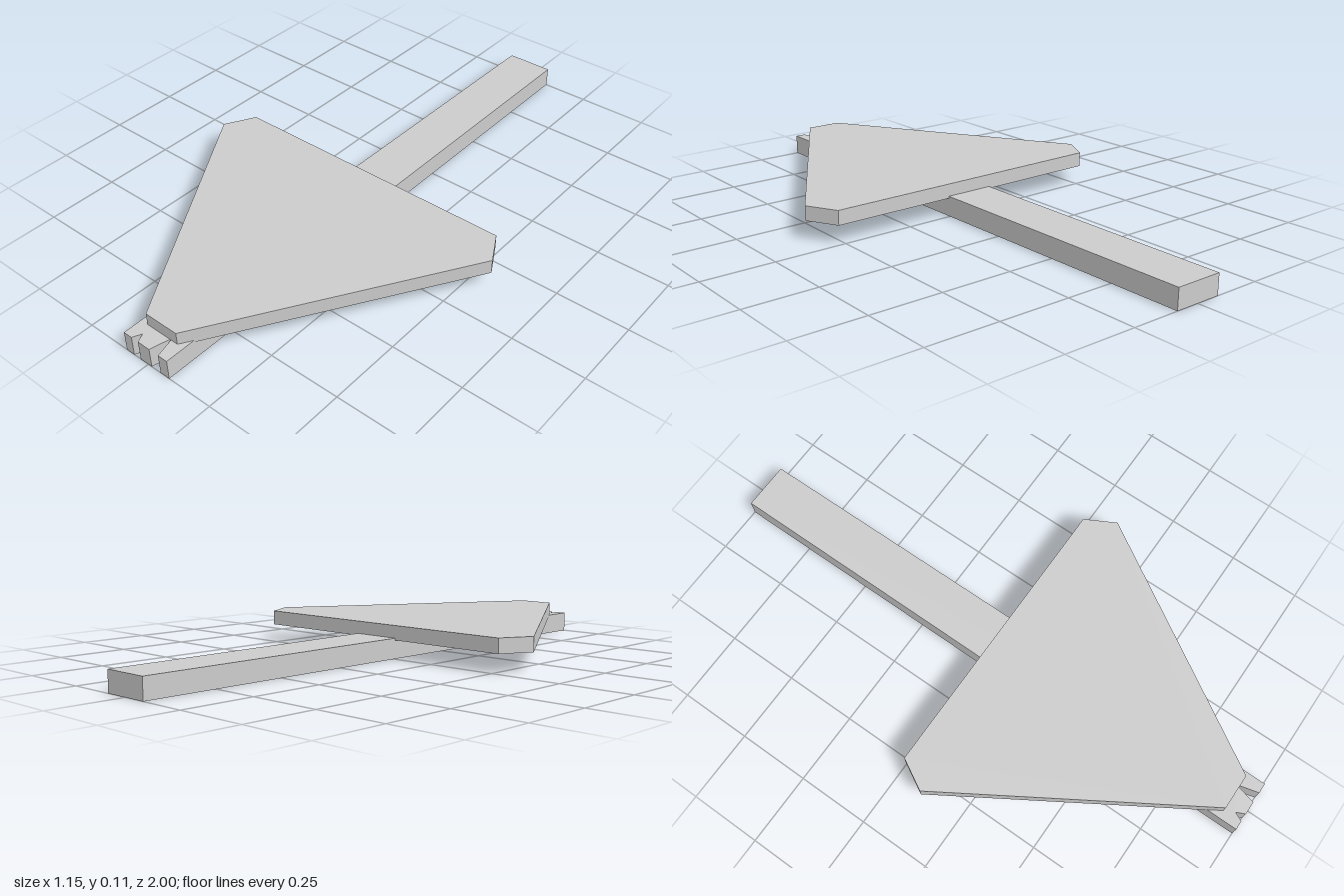
import * as THREE from 'three';

const material = new THREE.MeshStandardMaterial({ color: 0xcccccc, flatShading: true });

// Flat slab from an (x, z) outline between two heights
function slab(name, outline, bottom, top) {
  const shape = new THREE.Shape(outline.map(([x, z]) => new THREE.Vector2(x, z)));
  const geometry = new THREE.ExtrudeGeometry(shape, { depth: top - bottom, bevelEnabled: false });
  geometry.rotateX(Math.PI / 2).translate(0, top, 0);
  const mesh = new THREE.Mesh(geometry, material);
  mesh.name = name;
  return mesh;
}

export function createModel() {
  const group = new THREE.Group();
  group.name = 'signpost';

  // Long post, its front end split by two V-shaped notches
  group.add(slab('post', [
    [-0.085, -1], [0.083, -1], [0.088, 1],
    [0.052, 1], [0.033, 0.925], [0.015, 1],
    [-0.032, 1], [-0.046, 0.97], [-0.06, 1],
    [-0.092, 1],
  ], 0, 0.07));

  // Triangular board with clipped corners, let slightly into the post
  group.add(slab('board', [
    [-0.52, 0.005], [0.52, 0.005], [0.577, 0.11],
    [0.062, 0.935], [-0.064, 0.935], [-0.578, 0.11],
  ], 0.063, 0.113));

  return group;
}
